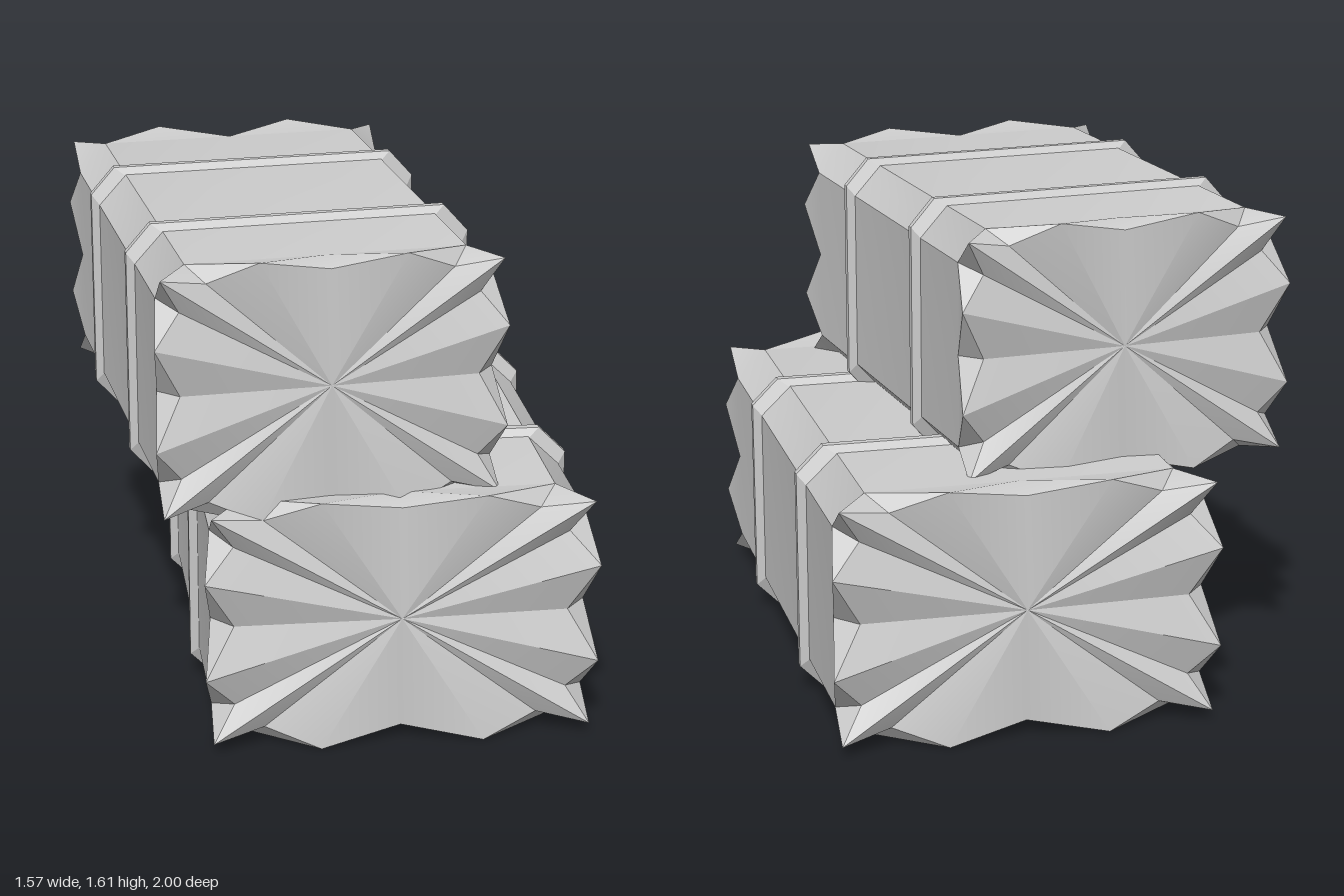
import * as THREE from 'three';
import { toCreasedNormals } from 'three/addons/utils/BufferGeometryUtils.js';

// Collects triangles and returns a geometry with sharp creases
function build(fill) {
  const pos = [];
  fill((a, b, c, flip = false) => {
    for (const p of flip ? [a, c, b] : [a, b, c]) pos.push(p[0], p[1], p[2]);
  });
  const g = new THREE.BufferGeometry();
  g.setAttribute('position', new THREE.Float32BufferAttribute(pos, 3));
  return toCreasedNormals(g, 0.5);
}

// Repeats a quarter outline (from +x up to just before +y) around all four quadrants
function fullRing(quarter, top) {
  const first = quarter;
  const second = [top, ...quarter.slice(1).reverse()].map(([x, y]) => [-x, y]);
  const half = [...first, ...second];
  return [...half, ...half.map(([x, y]) => [-x, -y])];
}

// Ragged outline: even points are notches, odd points are tufts
const outer = fullRing(
  [[0.603, 0], [0.63, 0.165], [0.603, 0.3], [0.607, 0.385], [0.5, 0.4], [0.262, 0.422]], [0, 0.4]);
const inner = fullRing(
  [[0.535, 0], [0.63, 0.165], [0.535, 0.27], [0.607, 0.385], [0.44, 0.355], [0.262, 0.422]], [0, 0.375]);

function baleGeometry() {
  return build((tri) => {
    const n = outer.length;
    const at = (p, z) => [p[0], p[1], z];
    for (let i = 0; i < n; i += 2) {
      const a = outer[i], b = outer[(i + 2) % n];
      // side wall between two notches
      tri(at(a, -0.87), at(b, -0.87), at(b, 0.87));
      tri(at(a, -0.87), at(b, 0.87), at(a, 0.87));
      for (const e of [1, -1]) {
        const f = e < 0;
        const notch = at(a, 0.87 * e), nextNotch = at(b, 0.87 * e);
        const tuft = at(outer[i + 1], e), prevTuft = at(outer[(i + n - 1) % n], e);
        const rim = at(inner[i], 0.95 * e), middle = [0, 0, 0.96 * e];
        tri(notch, nextNotch, tuft, f);
        // notch facets
        tri(prevTuft, notch, rim, f);
        tri(notch, tuft, rim, f);
        // end cap
        tri(middle, prevTuft, rim, f);
        tri(middle, rim, tuft, f);
      }
    }
  });
}

function octagon(w, h, c) {
  return [[w, c - h], [w, h - c], [w - c, h], [c - w, h],
    [-w, h - c], [-w, c - h], [c - w, -h], [w - c, -h]];
}

// Raised band around the bale with sloped edges
function strapGeometry() {
  const low = octagon(0.597, 0.394, 0.1), high = octagon(0.63, 0.422, 0.09);
  const rings = [[low, -0.045], [high, -0.014], [high, 0.014], [low, 0.045]]
    .map(([o, z]) => o.map(([x, y]) => [x, y, z]));
  return build((tri) => {
    for (let r = 0; r < 3; r++) {
      for (let i = 0; i < 8; i++) {
        const j = (i + 1) % 8;
        tri(rings[r][i], rings[r][j], rings[r + 1][j]);
        tri(rings[r][i], rings[r + 1][j], rings[r + 1][i]);
      }
    }
  });
}

export function createModel() {
  const straw = new THREE.MeshStandardMaterial({ color: 0xcccccc });
  straw.name = 'pale grey';
  const model = new THREE.Group();
  model.name = 'stackedBales';
  const body = baleGeometry(), band = strapGeometry();

  function addBale(name, position, scale, turn) {
    const bale = new THREE.Group();
    bale.name = name;
    const block = new THREE.Mesh(body, straw);
    block.name = 'baleBody';
    bale.add(block);
    for (const s of [1, -1]) {
      const strap = new THREE.Mesh(band, straw);
      strap.name = s > 0 ? 'frontStrap' : 'backStrap';
      strap.position.z = 0.408 * s;
      bale.add(strap);
    }
    bale.position.set(...position);
    bale.scale.set(...scale);
    bale.rotation.y = turn;
    model.add(bale);
  }

  addBale('lowerBale', [0.155, 0.422, 0], [1, 1, 1], 0);
  addBale('upperBale', [-0.145, 1.192, 0.087], [0.888, 1, 0.845], 0.102);
  return model;
}
